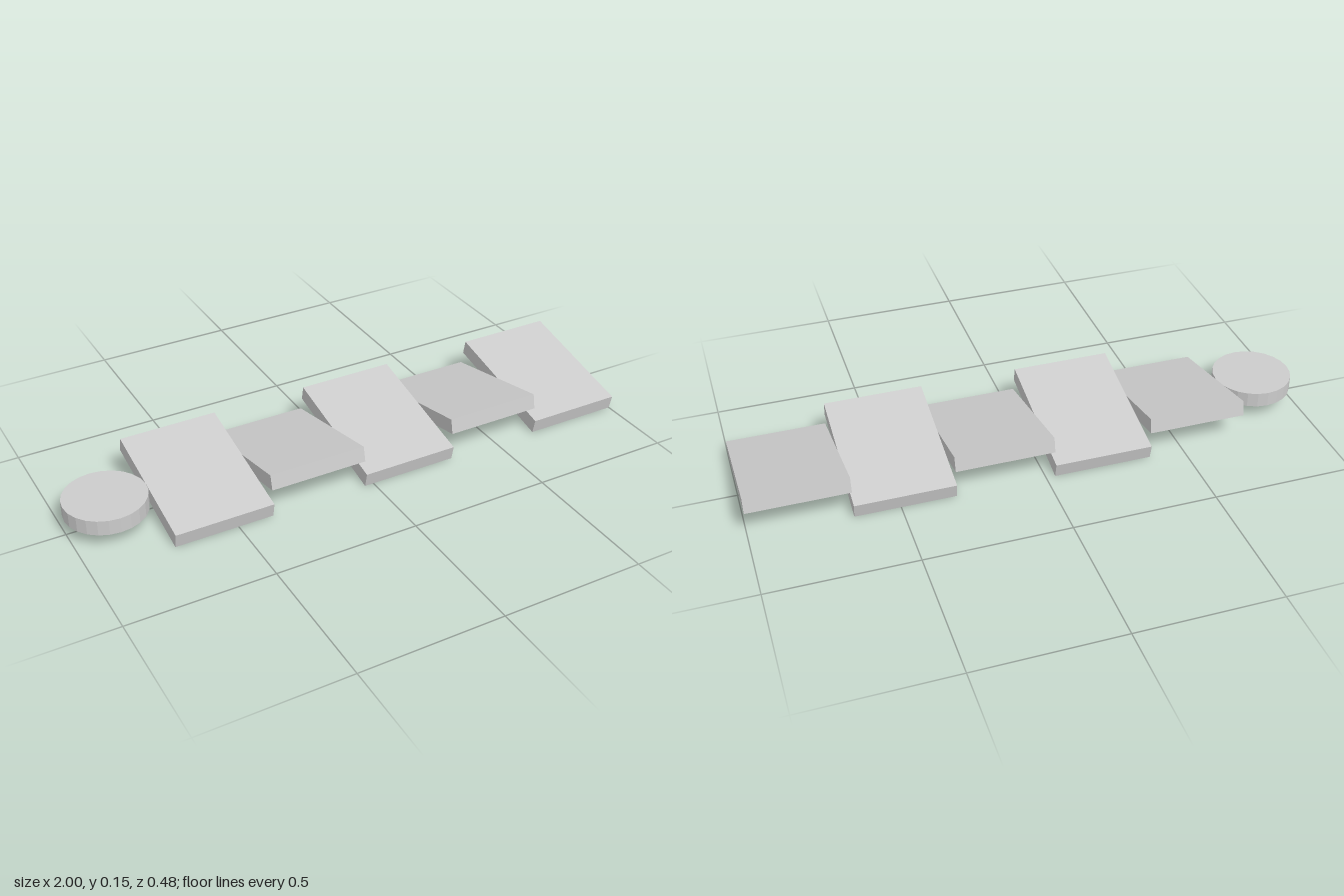
import * as THREE from 'three';

export function createModel() {
  const model = new THREE.Group();
  const material = new THREE.MeshStandardMaterial({ color: 0xcccccc, flatShading: true });

  const count = 5, startX = -0.72, width = 1.72 / count;
  const thickness = 0.0533, length = 0.467, tilt = 0.2138;
  const midY = 0.0757;

  // Row of plates, tilted alternately forwards and backwards
  const plateGeometry = new THREE.BoxGeometry(width, thickness, length);
  for (let i = 0; i < count; i++) {
    const side = i % 2 === 0 ? 1 : -1;
    const plate = new THREE.Mesh(plateGeometry, material);
    plate.name = `tiltedPlate${i + 1}`;
    plate.position.set(startX + (i + 0.5) * width, midY, side * 0.006);
    plate.rotation.x = side * tilt;
    model.add(plate);
  }

  // Flat round disc touching the end of the row
  const disc = new THREE.Mesh(new THREE.CylinderGeometry(0.14, 0.14, thickness, 24), material);
  disc.name = 'endDisc';
  disc.position.set(-0.86, 0.0785, 0);
  model.add(disc);

  return model;
}
